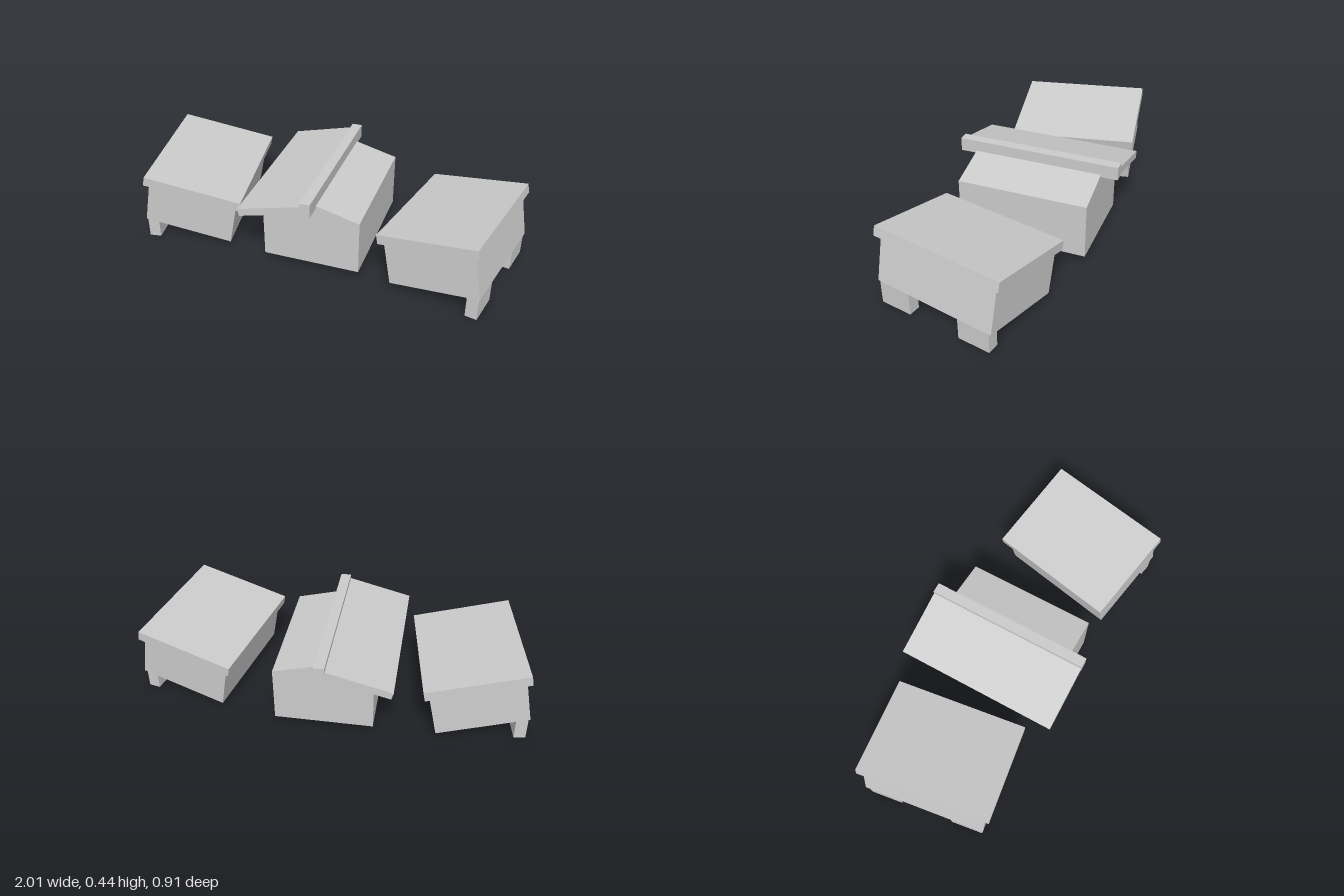
import * as THREE from 'three';

const material = new THREE.MeshStandardMaterial({ color: 0xcccccc, flatShading: true, side: THREE.DoubleSide });

function addMesh(parent, name, geometry, x = 0, y = 0, z = 0) {
  const mesh = new THREE.Mesh(geometry, material);
  mesh.name = name;
  mesh.position.set(x, y, z);
  parent.add(mesh);
  return mesh;
}

// Extrudes an outline of [x, y] points, centred along z
function prism(points, depth) {
  const shape = new THREE.Shape(points.map(([x, y]) => new THREE.Vector2(x, y)));
  return new THREE.ExtrudeGeometry(shape, { depth, bevelEnabled: false }).translate(0, 0, -depth / 2);
}

// Drops every downward-facing triangle, leaving a shell open below
function openBelow(geometry) {
  const source = geometry.index ? geometry.toNonIndexed() : geometry;
  const p = source.attributes.position.array;
  const n = source.attributes.normal.array;
  const kept = [];
  for (let i = 0; i < p.length; i += 9) {
    if (n[i + 1] > -0.9) kept.push(...p.slice(i, i + 9));
  }
  const shell = new THREE.BufferGeometry();
  shell.setAttribute('position', new THREE.Float32BufferAttribute(kept, 3));
  shell.computeVertexNormals();
  return shell;
}

// Tilted hut with a flat lid; its outer side rests on two upright legs
function createHut(name, side, lidTop, rotation, legCentre) {
  const hut = new THREE.Group();
  hut.name = name;

  const box = new THREE.Group();
  box.name = 'tiltedBox';
  box.position.set(...lidTop);
  box.rotation.set(...rotation);
  addMesh(box, 'lid', new THREE.BoxGeometry(0.512, 0.05, 0.68), 0, -0.025, 0);
  addMesh(box, 'walls', openBelow(new THREE.BoxGeometry(0.466, 0.23, 0.634)), 0, -0.165, 0);
  hut.add(box);

  const legs = new THREE.Group();
  legs.name = 'legs';
  legs.position.set(legCentre[0], 0, legCentre[1]);
  legs.rotation.y = rotation[1];
  for (const end of [1, -1]) {
    addMesh(legs, end > 0 ? 'frontLeg' : 'backLeg',
      new THREE.BoxGeometry(0.06, 0.12, 0.167), side * 0.002, 0.06, end * 0.222);
  }
  hut.add(legs);
  return hut;
}

// Gabled house, roofed on one slope only, with a ridge beam
function createHouse() {
  const house = new THREE.Group();
  house.name = 'middleHouse';
  house.position.set(0.03, 0, -0.033);
  house.rotation.y = 0.12;
  const outline = [[-0.25, 0.04], [0.25, 0.04], [0.25, 0.33], [0, 0.395], [-0.25, 0.33]];
  addMesh(house, 'gabledWalls', openBelow(prism(outline, 0.675)));
  const slab = [[-0.352, 0.34], [-0.342, 0.302], [0.01, 0.392], [0, 0.43]];
  addMesh(house, 'roofSlab', prism(slab, 0.845));
  addMesh(house, 'ridgeBeam', new THREE.BoxGeometry(0.053, 0.07, 0.847), 0.002, 0.41, 0);
  return house;
}

export function createModel() {
  const model = new THREE.Group();
  model.name = 'threeHuts';
  model.add(createHouse());
  model.add(createHut('leftHut', 1, [0.69, 0.3475, -0.033], [-0.027, -0.089, 0.194], [0.935, 0.0]));
  model.add(createHut('rightHut', -1, [-0.65, 0.35, 0.06], [0.03, 0.267, -0.205], [-0.89, 0.121]));
  return model;
}
